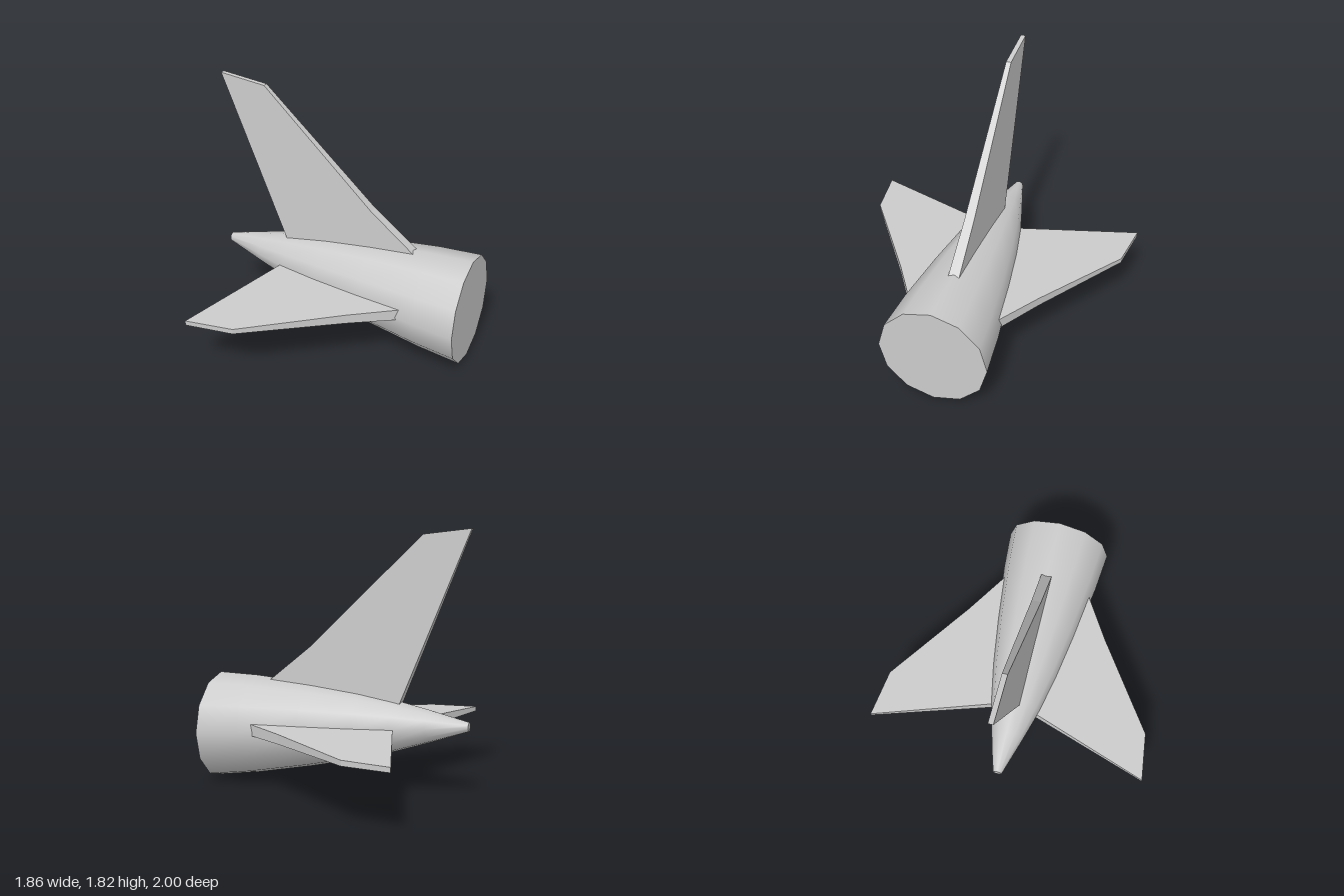
import * as THREE from 'three';

const grey = new THREE.MeshStandardMaterial({ color: 0xcccccc });

function addMesh(parent, geometry, name) {
  const mesh = new THREE.Mesh(geometry, grey);
  mesh.name = name;
  parent.add(mesh);
  return mesh;
}

// Flat fin: outline in (x, span), thickness tapering linearly from root to tip
function finGeometry(outline, rootSpan, rootHalf, tipSpan, tipHalf) {
  const shape = new THREE.Shape(outline.map(([x, y]) => new THREE.Vector2(x, y)));
  const geo = new THREE.ExtrudeGeometry(shape, { depth: 2, bevelEnabled: false });
  geo.translate(0, 0, -1);
  const p = geo.attributes.position;
  for (let i = 0; i < p.count; i++) {
    const t = (p.getY(i) - rootSpan) / (tipSpan - rootSpan);
    p.setZ(i, p.getZ(i) * THREE.MathUtils.lerp(rootHalf, tipHalf, t));
  }
  geo.computeVertexNormals();
  return geo;
}

export function createModel() {
  const model = new THREE.Group();
  model.name = 'tailSection';

  // Tapered body: 12-sided profile along x, sheared so its axis rises to the rear
  const profile = [
    [0.032, -0.932], [0.115, -0.65], [0.178, -0.42], [0.238, -0.15],
    [0.298, 0.2], [0.358, 0.63], [0.384, 0.932],
  ].map(([r, x]) => new THREE.Vector2(r, x));
  const slope = -0.0645;
  const shear = new THREE.Matrix4().set(
    1, 0, 0, 0,
    slope, 1, 0, 0.445,
    0, 0, 1, 0,
    0, 0, 0, 1);
  const body = new THREE.Group();
  body.name = 'body';
  model.add(body);
  addMesh(body, new THREE.LatheGeometry(profile, 12).rotateZ(-Math.PI / 2).applyMatrix4(shear), 'bodyShell');

  // Flat discs closing both ends
  for (const [side, point, name] of [[1, profile[profile.length - 1], 'frontCap'], [-1, profile[0], 'rearCap']]) {
    const cap = new THREE.CircleGeometry(point.x, 12).rotateY(side * Math.PI / 2);
    cap.translate(point.y, 0.445 + slope * point.y, 0);
    addMesh(body, cap, name);
  }

  // Upright fin, its root buried in the body
  addMesh(model, finGeometry(
    [[-0.40, 0.5], [0.75, 0.55], [0.2, 1.0], [-0.6, 1.78], [-0.93, 1.82]],
    0.77, 0.038, 1.82, 0.017), 'verticalFin');

  // Pair of horizontal tailplanes
  const planform = [[-0.41, 0.05], [0.86, 0.12], [0.23, 0.52], [-0.39, 0.955], [-0.725, 1.0]];
  for (const side of [1, -1]) {
    const wing = addMesh(model, finGeometry(planform, 0.385, 0.038, 1.0, 0.017),
      side > 0 ? 'frontTailplane' : 'rearTailplane');
    wing.rotation.x = side * Math.PI / 2;
    wing.position.y = 0.432;
  }

  return model;
}
